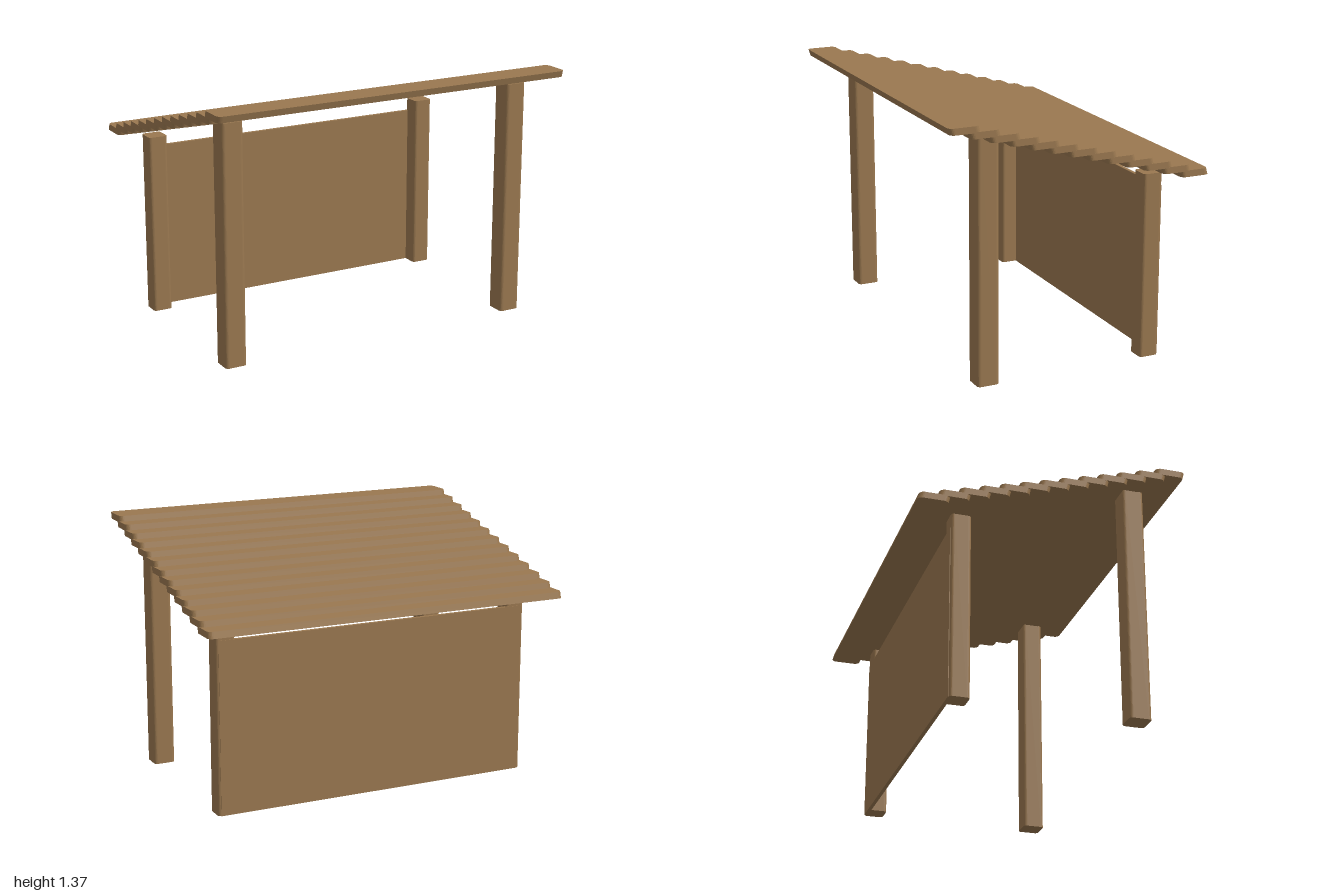
import * as THREE from 'three';

const wood = new THREE.MeshStandardMaterial({ color: 0x9a7850 });
wood.name = 'wood';

// Upright block with rounded vertical edges, its base on y = 0
function roundedBlock(width, height, depth, radius) {
  const x = width / 2, z = depth / 2, r = radius;
  const shape = new THREE.Shape();
  shape.absarc(x - r, z - r, r, 0, Math.PI / 2);
  shape.absarc(-x + r, z - r, r, Math.PI / 2, Math.PI);
  shape.absarc(-x + r, -z + r, r, Math.PI, Math.PI * 1.5);
  shape.absarc(x - r, -z + r, r, Math.PI * 1.5, Math.PI * 2);
  shape.closePath();
  const geometry = new THREE.ExtrudeGeometry(shape, { depth: height, bevelEnabled: false, curveSegments: 3 });
  return geometry.rotateX(-Math.PI / 2);
}

export function createModel() {
  const model = new THREE.Group();
  model.name = 'shelter';
  const add = (name, geometry, x, y, z, parent = model) => {
    const mesh = new THREE.Mesh(geometry, wood);
    mesh.name = name;
    mesh.position.set(x, y, z);
    parent.add(mesh);
  };

  // Tall posts in front, shorter and slimmer ones behind
  const frontPost = roundedBlock(0.116, 1.277, 0.116, 0.018);
  const backPost = roundedBlock(0.104, 0.985, 0.104, 0.016);
  for (const [side, s] of [['Left', 1], ['Right', -1]]) {
    add('frontPost' + side, frontPost, s * 0.832, 0, 0.459);
    add('backPost' + side, backPost, s * 0.832, 0, -0.457);
  }

  // Thin wall across the back posts
  add('backWall', new THREE.BoxGeometry(1.74, 0.912, 0.02), 0, 0.456, -0.502);

  // Overlapping level planks stepping down to the back, their edges leaning forward
  const plank = roundedBlock(2, 0.034, 0.16, 0.027);
  const position = plank.attributes.position;
  for (let i = 0; i < position.count; i++) {
    position.setZ(i, position.getZ(i) + 0.28 * (position.getY(i) - 0.017));
  }
  plank.computeVertexNormals();
  const roof = new THREE.Group();
  roof.name = 'roof';
  model.add(roof);
  const count = 13;
  for (let i = 0; i < count; i++) {
    const t = i / (count - 1);
    add('roofPlank' + (i + 1), plank, 0, THREE.MathUtils.lerp(1.334, 0.98, t), THREE.MathUtils.lerp(0.627, -0.627, t), roof);
  }
  return model;
}
